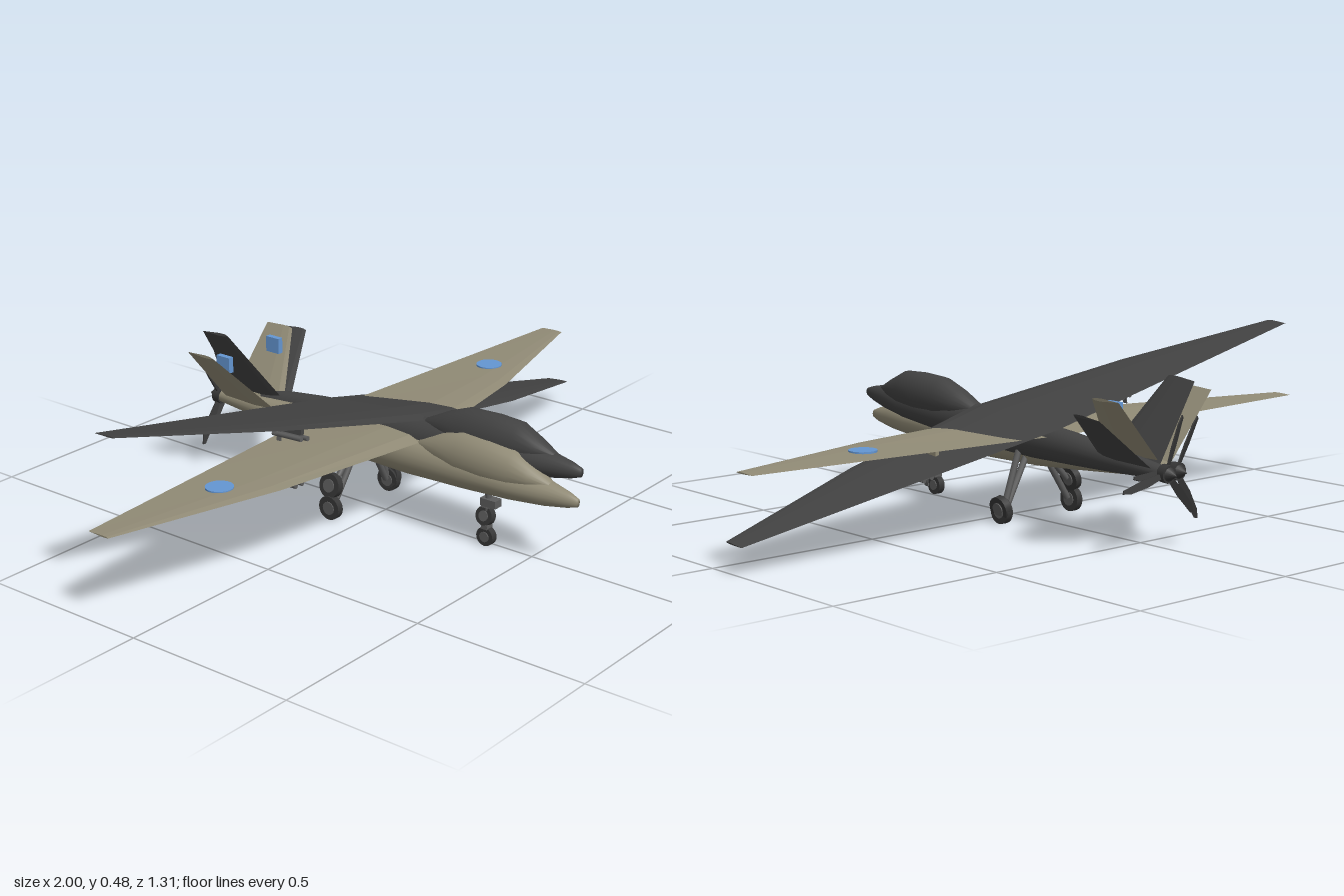
import * as THREE from 'three';

const mat = (name, color) => Object.assign(new THREE.MeshStandardMaterial({ color }), { name });
const tan = mat('tan', 0x918b76), charcoal = mat('charcoal', 0x424242), blue = mat('blue', 0x6496d2);
const gearGrey = mat('gear grey', 0x5c5c5c), black = mat('prop black', 0x363636);

// Joins closed rings of points into a capped skin
function skin(rings, flat) {
  const centre = (r) => {
    const c = r.reduce((s, p) => [s[0] + p[0], s[1] + p[1], s[2] + p[2]], [0, 0, 0]);
    return r.map(() => c.map((v) => v / r.length));
  };
  const all = [centre(rings[0]), ...rings, centre(rings[rings.length - 1])];
  const n = rings[0].length, idx = [];
  for (let j = 0; j < all.length - 1; j++) {
    for (let i = 0; i < n; i++) {
      const a = j * n + i, b = j * n + (i + 1) % n;
      if (j > 0) idx.push(a, a + n, b);
      if (j < all.length - 2) idx.push(b, a + n, b + n);
    }
  }
  let g = new THREE.BufferGeometry();
  g.setAttribute('position', new THREE.Float32BufferAttribute(all.flat(2), 3));
  g.setIndex(idx);
  if (flat) g = g.toNonIndexed();
  g.computeVertexNormals();
  return g;
}

// Round body from stations of z, centre y, half width, half height
const body = (stations, sides = 20) => skin(stations.map(([z, y, rx, ry]) =>
  Array.from({ length: sides }, (_, i) => {
    const a = (i / sides) * Math.PI * 2;
    return [Math.cos(a) * rx, y + Math.sin(a) * ry, z];
  })));

// Lifting surface from sections of x, y, leading z, trailing z, half thickness
const surface = (sections) => skin(sections.map(([x, y, le, te, t]) => {
  const at = (f) => le + (te - le) * f;
  return [[x, y, le], [x, y + t * 0.8, at(0.12)], [x, y + t, at(0.35)], [x, y, te],
    [x, y - t, at(0.35)], [x, y - t * 0.8, at(0.12)]];
}), true);

function add(parent, name, geometry, material, x = 0, y = 0, z = 0) {
  const m = new THREE.Mesh(geometry, material);
  m.name = name;
  m.position.set(x, y, z);
  parent.add(m);
  return m;
}

// Straight round rod between two points
function rod(parent, name, a, b, r, material) {
  const p = new THREE.Vector3(...a), q = new THREE.Vector3(...b), d = q.clone().sub(p);
  const m = add(parent, name, new THREE.CylinderGeometry(r, r, d.length(), 10), material);
  m.position.copy(p).add(q).multiplyScalar(0.5);
  m.quaternion.setFromUnitVectors(new THREE.Vector3(0, 1, 0), d.normalize());
}

function wheel(parent, name, x, y, z, r, w) {
  add(parent, name, new THREE.CylinderGeometry(r, r, w, 20), black, x, y, z).rotation.z = Math.PI / 2;
  add(parent, name + 'Hub', new THREE.CylinderGeometry(r * 0.55, r * 0.55, w + 0.006, 14), gearGrey, x, y, z)
    .rotation.z = Math.PI / 2;
}

function aircraft(name, paint) {
  const g = new THREE.Group();
  g.name = name;

  // Fuselage and the long dorsal hump
  add(g, 'fuselage', body([
    [0.65, 0.203, 0.008, 0.012], [0.62, 0.204, 0.018, 0.022], [0.55, 0.206, 0.036, 0.036],
    [0.45, 0.206, 0.053, 0.045], [0.3, 0.204, 0.056, 0.052], [0.1, 0.2, 0.051, 0.056],
    [-0.1, 0.2, 0.047, 0.053], [-0.25, 0.203, 0.042, 0.046], [-0.42, 0.204, 0.033, 0.034],
    [-0.6, 0.205, 0.02, 0.018]]), paint);
  add(g, 'dorsalHump', body([
    [0.565, 0.232, 0.015, 0.008], [0.51, 0.238, 0.036, 0.033], [0.45, 0.242, 0.05, 0.06],
    [0.37, 0.243, 0.054, 0.067], [0.28, 0.244, 0.052, 0.067], [0.21, 0.244, 0.042, 0.045],
    [0.14, 0.243, 0.024, 0.015]]), paint);

  // Wing with a kinked leading edge, and the V tail
  const wing = [[0.985, -0.07, -0.14, 0.002], [0.5, 0.064, -0.177, 0.006], [0, 0.147, -0.215, 0.013]];
  const tail = [[0.17, 0.395, -0.475, -0.572, 0.004], [0.015, 0.215, -0.38, -0.575, 0.01]];
  const mirrored = (s) => s.map(([x, ...rest]) => [-x, ...rest]);
  const wingSections = wing.map(([x, le, te, t]) => [x, 0.25, le, te, t]);
  add(g, 'wing', surface([...mirrored(wingSections), ...wingSections.slice(0, 2).reverse()]), paint);
  add(g, 'vTail', surface([...mirrored(tail), ...tail.slice().reverse()]), paint);

  // Nose gear
  rod(g, 'noseStrut', [0, 0.17, 0.365], [0, 0.05, 0.36], 0.008, gearGrey);
  add(g, 'noseCollar', new THREE.BoxGeometry(0.03, 0.022, 0.05), gearGrey, 0, 0.13, 0.372);
  add(g, 'noseFork', new THREE.BoxGeometry(0.026, 0.012, 0.02), gearGrey, 0, 0.056, 0.36);
  wheel(g, 'noseWheel', 0, 0.027, 0.36, 0.027, 0.02);

  for (const s of [1, -1]) {
    // Main gear
    rod(g, 'mainStrut', [s * 0.03, 0.18, -0.07], [s * 0.115, 0.04, -0.08], 0.009, gearGrey);
    wheel(g, 'mainWheel', s * 0.13, 0.035, -0.08, 0.035, 0.02);
    // Underwing rail with two tubes and crossed fins
    add(g, 'storeRail', new THREE.BoxGeometry(0.012, 0.03, 0.09), paint, s * 0.365, 0.228, -0.045);
    for (const k of [1, -1]) {
      const x = s * 0.365 + k * 0.013;
      rod(g, 'storeTube', [x, 0.205, 0.01], [x, 0.205, -0.09], 0.007, gearGrey);
    }
    add(g, 'storeFinFlat', new THREE.BoxGeometry(0.046, 0.003, 0.015), gearGrey, s * 0.365, 0.205, -0.08);
    add(g, 'storeFinUpright', new THREE.BoxGeometry(0.003, 0.036, 0.015), gearGrey, s * 0.365, 0.202, -0.08);
  }

  // Pusher propeller
  add(g, 'propHub', new THREE.CylinderGeometry(0.024, 0.024, 0.024, 14), black, 0, 0.205, -0.612)
    .rotation.x = Math.PI / 2;
  add(g, 'spinner', new THREE.ConeGeometry(0.02, 0.028, 14), black, 0, 0.205, -0.636).rotation.x = -Math.PI / 2;
  const bladeShape = new THREE.Shape([[0.015, -0.007], [0.07, -0.013], [0.13, -0.011], [0.155, -0.003],
    [0.15, 0.005], [0.08, 0.009], [0.015, 0.006]].map((p) => new THREE.Vector2(...p)));
  const bladeGeo = new THREE.ExtrudeGeometry(bladeShape, { depth: 0.004, bevelEnabled: false });
  bladeGeo.translate(0, 0, -0.002).rotateX(0.35);
  for (let i = 0; i < 3; i++) {
    add(g, 'propBlade', bladeGeo, black, 0, 0.205, -0.612).rotation.z = (i * Math.PI * 2) / 3;
  }
  return g;
}

export function createModel() {
  const model = new THREE.Group();
  model.name = 'dronePair';

  // Level tan aircraft with blue markings on wing and tail
  const level = aircraft('tanAircraft', tan);
  level.position.x = -0.015;
  for (const s of [1, -1]) {
    add(level, 'wingRoundel', new THREE.CylinderGeometry(0.038, 0.038, 0.009, 28), blue, s * 0.592, 0.2535, -0.065);
    add(level, 'tailMarking', new THREE.BoxGeometry(0.017, 0.046, 0.048), blue, s * 0.106, 0.36, -0.49);
  }
  model.add(level);

  // Dark aircraft, banked and slightly nose up
  const banked = new THREE.Group();
  banked.name = 'bankedAircraft';
  const dark = aircraft('darkAircraft', charcoal);
  dark.position.y = -0.2025;
  banked.add(dark);
  banked.position.set(0.025, 0.2375, -0.012);
  banked.rotation.set(-0.056, -0.012, -0.207, 'YXZ');
  model.add(banked);
  return model;
}
